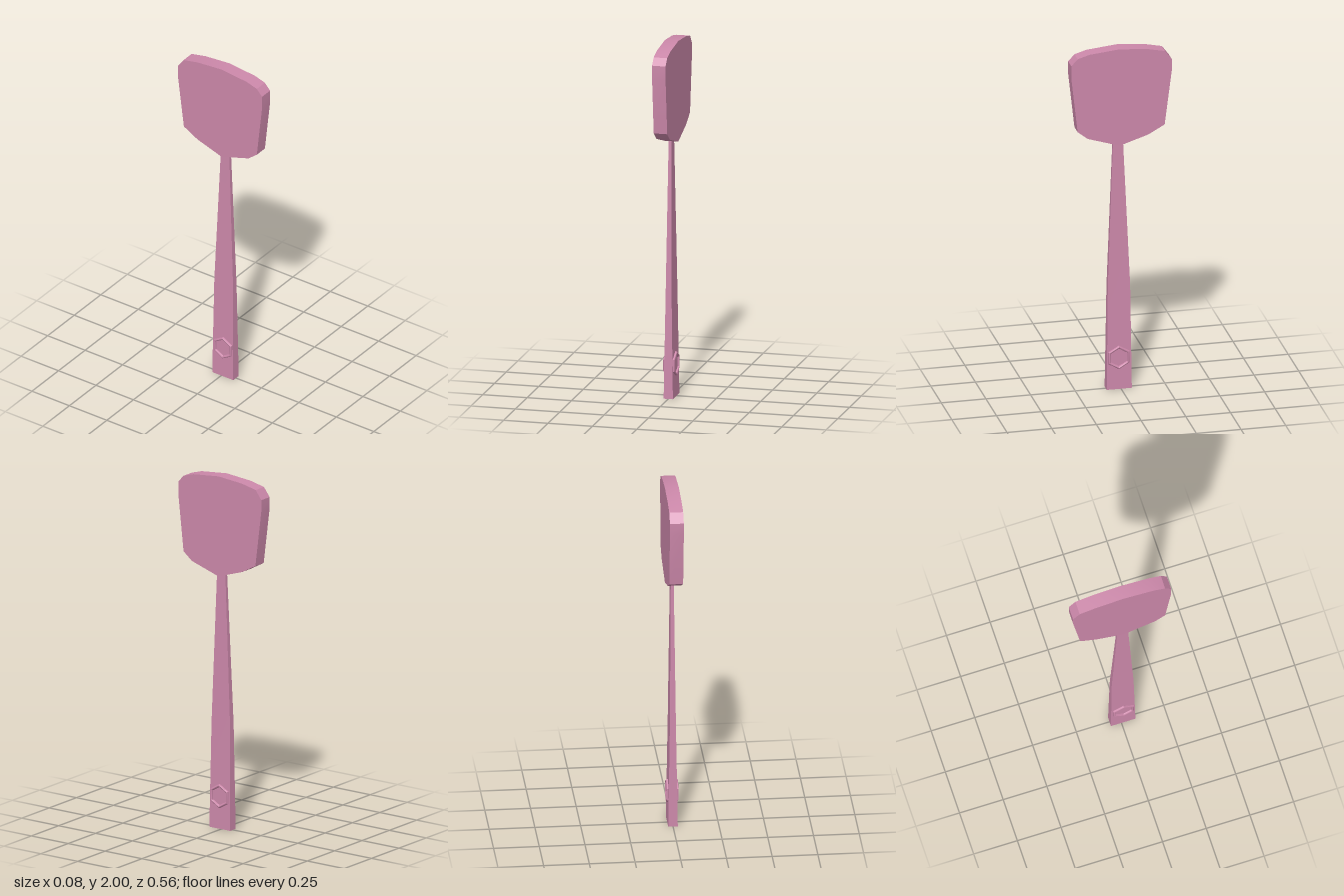
import * as THREE from 'three';
import { toCreasedNormals } from 'three/addons/utils/BufferGeometryUtils.js';

const material = new THREE.MeshStandardMaterial({ color: 0xcc88aa });

function addMesh(parent, name, geometry) {
  const mesh = new THREE.Mesh(geometry, material);
  mesh.name = name;
  parent.add(mesh);
  return mesh;
}

// Thick paddle head: outline in (z, y), extruded across x
function bladeGeometry() {
  const outline = [
    [0.01, 1.433], [0.19, 1.49], [0.246, 1.535], [0.281, 1.85], [0.281, 1.925],
    [0.246, 1.963], [0.18, 1.983], [0.01, 2], [-0.15, 1.986], [-0.243, 1.966],
    [-0.281, 1.915], [-0.281, 1.85], [-0.241, 1.535], [-0.15, 1.485],
  ].map(([z, y]) => new THREE.Vector2(z, y));
  const depth = 0.076;
  const g = new THREE.ExtrudeGeometry(new THREE.Shape(outline), { depth, bevelEnabled: false });
  g.translate(0, 0, -depth / 2).rotateY(-Math.PI / 2);
  return toCreasedNormals(g, THREE.MathUtils.degToRad(30));
}

// Tapered handle: a box whose rows follow [y, half thickness, back z, front z]
function handleGeometry() {
  const rows = [
    [0, 0.026, -0.06, 0.08],
    [0.6, 0.0165, -0.053, 0.072],
    [1.45, 0.008, -0.015, 0.041],
  ];
  const g = new THREE.BoxGeometry(2, 2, 2, 1, 2, 1);
  const p = g.attributes.position;
  for (let i = 0; i < p.count; i++) {
    const [y, half, back, front] = rows[Math.round(p.getY(i)) + 1];
    p.setXYZ(i, p.getX(i) * half, y, p.getZ(i) > 0 ? front : back);
  }
  return toCreasedNormals(g, THREE.MathUtils.degToRad(30));
}

// Hexagonal rim with a point at the top
function hexRingGeometry() {
  const g = new THREE.TorusGeometry(0.06, 0.009, 8, 6);
  g.rotateZ(Math.PI / 6).rotateY(Math.PI / 2);
  return toCreasedNormals(g, THREE.MathUtils.degToRad(50));
}

export function createModel() {
  const model = new THREE.Group();
  model.name = 'paddle';
  addMesh(model, 'blade', bladeGeometry());
  addMesh(model, 'handle', handleGeometry());

  // One rim on each face of the handle
  for (const side of [1, -1]) {
    const ring = addMesh(model, side > 0 ? 'leftHexRing' : 'rightHexRing', hexRingGeometry());
    ring.position.set(side * 0.024, 0.185, 0.012);
  }
  return model;
}
